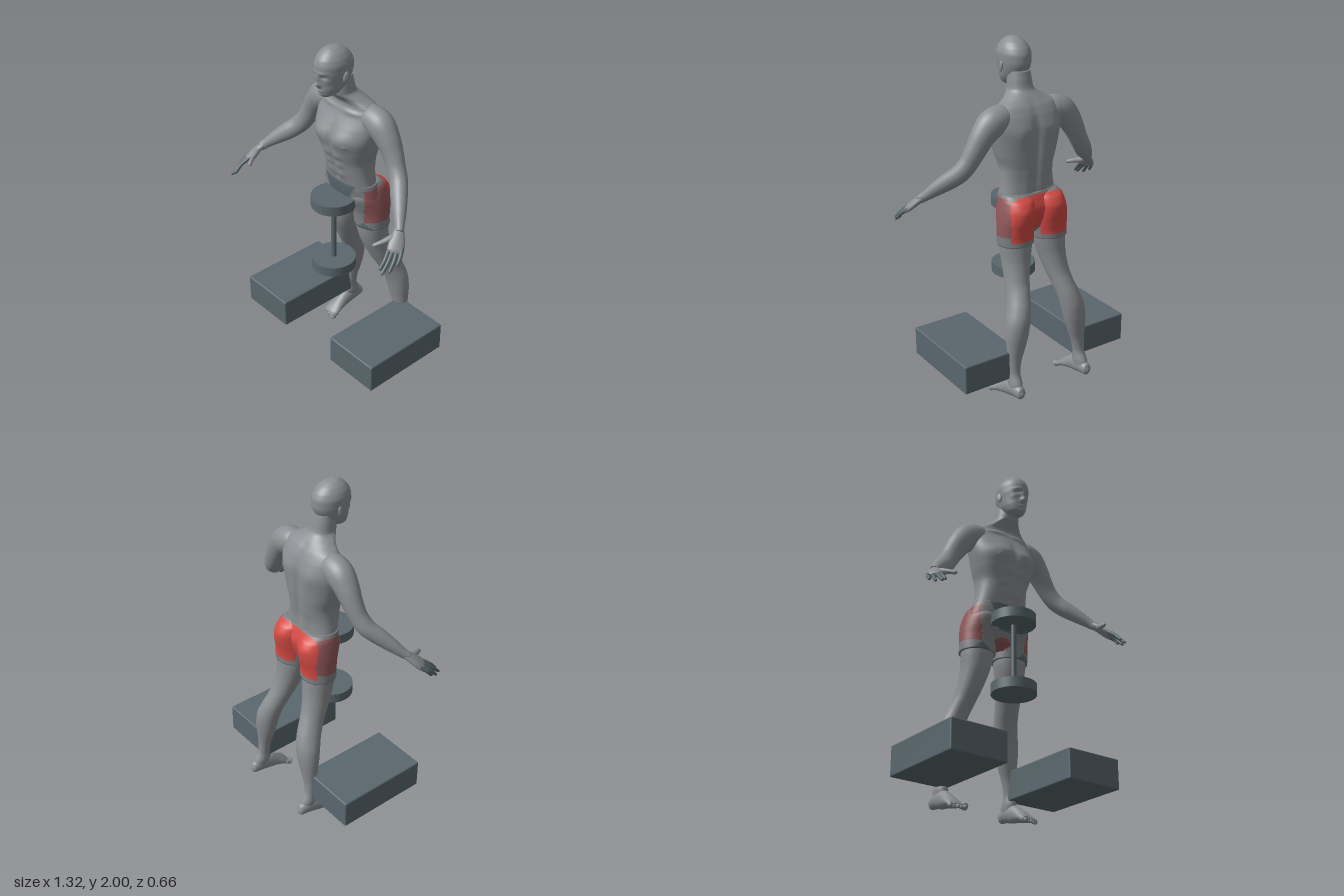
import * as THREE from 'three';
import { RoundedBoxGeometry } from 'three/addons/geometries/RoundedBoxGeometry.js';

const material = (name, color) => Object.assign(new THREE.MeshStandardMaterial({ color }), { name });
const V = (x, y, z) => new THREE.Vector3(x, y, z);

// Smooth tube through rows [x, y, z, radiusU, radiusV].
// With a side vector the rings follow the path; without one they stay level (rows run downward).
function loft(rows, { side = null, n = 24, steps = 40, power = 1, sculpt = null, pick = null } = {}) {
  const path = new THREE.CatmullRomCurve3(rows.map(r => V(r[0], r[1], r[2])));
  const size = new THREE.CatmullRomCurve3(rows.map(r => V(r[3], r[4], 0)));
  const shape = c => Math.sign(c) * Math.abs(c) ** power;
  const pts = [];
  for (let i = 0; i <= steps; i++) {
    const c = path.getPoint(i / steps), s = size.getPoint(i / steps);
    let u = V(1, 0, 0), v = V(0, 0, 1);
    if (side) {
      const t = path.getTangent(i / steps);
      u = side.clone().addScaledVector(t, -side.dot(t)).normalize();
      v = t.clone().cross(u);
    }
    for (let j = 0; j < n; j++) {
      const a = j / n * Math.PI * 2;
      const p = c.clone().addScaledVector(u, s.x * shape(Math.cos(a))).addScaledVector(v, s.y * shape(Math.sin(a)));
      if (sculpt) sculpt(p);
      pts.push(p);
    }
  }
  const ends = [path.getPoint(0), path.getPoint(1)];
  const top = pts.length, last = steps * n;
  pts.push(...ends);
  const buckets = [];
  const face = (...f) => {
    const mid = V(0, 0, 0);
    f.forEach(k => mid.addScaledVector(pts[k], 1 / f.length));
    const b = pick ? pick(mid) : 0;
    (buckets[b] ??= []).push(f[0], f[1], f[2]);
    if (f.length === 4) buckets[b].push(f[0], f[2], f[3]);
  };
  for (let j = 0; j < n; j++) {
    const k = (j + 1) % n;
    face(top, k, j);
    for (let i = 0; i < steps; i++) face(i * n + j, i * n + k, (i + 1) * n + k, (i + 1) * n + j);
    face(top + 1, last + j, last + k);
  }
  const g = new THREE.BufferGeometry().setFromPoints(pts);
  const index = [];
  buckets.forEach((b, m) => {
    g.addGroup(index.length, b.length, m);
    for (const k of b) index.push(k);
  });
  g.setIndex(index);
  g.computeVertexNormals();
  return g;
}

// Level rows from [y, halfWidth, front z, back z], optionally off centre
const level = (list, x = 0) => list.map(([y, w, f, b]) => [x, y, (f + b) / 2, w, (f - b) / 2]);
// Level rows from [y, inner x, outer x, front z, back z] on one side
const legRows = (list, s) => list.map(([y, i, o, f, b]) => [s * (i + o) / 2, y, (f + b) / 2, (o - i) / 2, (f - b) / 2]);
// Sum of soft mirrored bumps [x, y, spreadX, spreadY, height]
const bumps = (list, p) => list.reduce((sum, [x, y, sx, sy, h]) =>
  sum + h * Math.exp(-(((Math.abs(p.x) - x) / sx) ** 2) - ((p.y - y) / sy) ** 2), 0);
const fade = (v, a, b) => THREE.MathUtils.smoothstep(v, a, b);

export function createModel() {
  const skin = material('body grey', 0x8b8e92);
  const dark = material('slate', 0x59676d);
  const cloth = material('shorts grey', 0x7c8083);
  const red = material('bright red', 0xd54a44);
  const muted = material('muted red', 0x8f5658);
  const model = new THREE.Group();
  const add = (name, geometry, mat, parent = model) => {
    const m = new THREE.Mesh(geometry, mat);
    m.name = name;
    parent.add(m);
    return m;
  };

  // Torso and neck with chest, abdomen and back relief
  const chest = [[.085, 1.485, .07, .06, .018], [0, 1.47, .014, .08, -.012], [.11, 1.455, .008, .008, .006],
    [.04, 1.37, .028, .022, .007], [.04, 1.31, .028, .022, .007], [.04, 1.25, .028, .025, .006],
    [0, 1.3, .01, .1, -.006], [0, 1.215, .008, .01, -.008], [.09, 1.635, .07, .012, .008]];
  const back = [[0, 1.42, .022, .2, .02], [.1, 1.53, .05, .07, -.01], [.05, 1.26, .03, .08, -.006]];
  add('torso', loft(level([[1.83, .058, .1, -.02], [1.79, .064, .1, -.03], [1.735, .07, .095, -.045],
    [1.695, .12, .06, -.08], [1.665, .175, .045, -.105], [1.62, .2, .06, -.13], [1.55, .21, .095, -.15],
    [1.48, .2, .12, -.152], [1.4, .18, .112, -.15], [1.32, .157, .09, -.14], [1.25, .158, .075, -.13],
    [1.17, .168, .055, -.13]]), {
    n: 96, steps: 110, power: .88,
    sculpt: p => {
      p.z += bumps(chest, p) * fade(p.z, -.02, .05) + bumps(back, p) * fade(-p.z, .05, .1);
    },
  }), skin);

  // Head with facial relief
  const faceBumps = [[0, 1.812, .013, .014, .02], [0, 1.838, .009, .025, .011], [.03, 1.882, .024, .009, .005],
    [.032, 1.86, .016, .011, -.011], [0, 1.777, .024, .005, .007], [0, 1.768, .022, .004, .005],
    [0, 1.773, .026, .002, -.004], [0, 1.747, .02, .011, .007], [.05, 1.835, .015, .015, .004]];
  add('head', loft(level([[2, .004, .1, .09], [1.995, .028, .128, .058], [1.975, .057, .16, .018],
    [1.945, .077, .185, -.012], [1.91, .086, .196, -.027], [1.87, .084, .196, -.028], [1.83, .077, .187, -.014],
    [1.79, .068, .183, .015], [1.755, .05, .175, .06], [1.735, .022, .157, .105]]), {
    n: 80, steps: 90,
    sculpt: p => { p.z += bumps(faceBumps, p) * fade(p.z, .1, .16); },
  }), skin);

  // Colour rule for the patches on the shorts
  const patch = p => {
    const x = Math.abs(p.x);
    if (p.z < -.14 && p.y > .93 && p.y < 1.175 && x < .185) return 1;
    if (x > .15 && p.z < .012 && p.y > .95 - p.z * .1 && p.y < 1.165) return 2;
    if (p.z > -.06 && x < .055 && (x / .055) ** 2 + ((p.y - .97) / .03) ** 2 < 1) return 2;
    if (p.z > 0 && x < .04 + (p.y - 1.03) * .5 && p.y > 1.03) return 3;
    if (p.z > -.06 && p.y < .945 - Math.abs(x - .145) * .8 && x > .09) return 3;
    return 0;
  };
  const shortsColors = [cloth, red, muted, dark];
  add('shortsHips', loft(level([[1.185, .172, .062, -.136], [1.15, .183, .06, -.152], [1.1, .194, .052, -.168],
    [1.04, .185, .03, -.16], [.98, .12, .005, -.14], [.945, .04, -.03, -.11]]),
  { n: 80, steps: 56, power: .9, pick: patch }), shortsColors);

  for (const s of [1, -1]) {
    const sideName = s > 0 ? 'left' : 'right';
    const limb = new THREE.Group();
    limb.name = sideName + 'Limbs';
    model.add(limb);
    const flip = rows => rows.map(r => [s * r[0], ...r.slice(1)]);

    // Shorts leg with buttock
    add('shortsLeg', loft(legRows([[1.18, .03, .16, -.03, -.13], [1.15, .01, .184, .02, -.182],
      [1.1, .004, .2, .044, -.206], [1.05, .004, .21, .028, -.203], [1, .004, .215, .012, -.192],
      [.95, .006, .217, .007, -.186], [.905, .008, .217, .005, -.188]], s),
    { n: 56, steps: 50, pick: patch }), shortsColors, limb);

    // Leg
    add('leg', loft(legRows([[.95, .015, .208, 0, -.178], [.88, .022, .205, -.004, -.182],
      [.8, .04, .2, -.02, -.19], [.7, .066, .204, -.06, -.213], [.64, .083, .212, -.09, -.24],
      [.57, .1, .232, -.128, -.272], [.5, .115, .255, -.155, -.29], [.42, .13, .265, -.172, -.291],
      [.34, .152, .263, -.188, -.282], [.26, .178, .259, -.2, -.273], [.19, .192, .258, -.205, -.276],
      [.13, .192, .263, -.198, -.305], [.075, .2, .258, -.215, -.322]], s), { n: 40, steps: 70 }), skin, limb);

    // Foot and toes
    add('foot', loft(flip([[.23, .085, -.333, .006, .006], [.23, .085, -.32, .026, .032], [.23, .092, -.275, .034, .044],
      [.232, .085, -.215, .036, .05], [.235, .062, -.155, .042, .037], [.238, .038, -.105, .051, .023],
      [.238, .026, -.08, .048, .015], [.238, .022, -.07, .04, .008]]), { side: V(s, 0, 0), n: 28, steps: 36 }), skin, limb);
    for (let i = 0; i < 5; i++) {
      const x = .197 + i * .02, r = i ? .0095 : .014, tip = -.05 - i * .006;
      add('toe', loft(flip([[x, .03, -.1, r, r], [x, .025, -.075, r, r], [x, .017, tip - .012, r, r],
        [x, .014, tip - .003, r * .75, r * .7], [x, .013, tip, .002, .002]]), { side: V(s, 0, 0), n: 12, steps: 14 }), skin, limb);
    }

    // Arm from shoulder to wrist
    add('arm', loft(flip([[.1, 1.6, -.035, .05, .05], [.16, 1.605, -.035, .075, .072], [.22, 1.588, -.037, .08, .075],
      [.275, 1.535, -.037, .07, .066], [.32, 1.465, -.035, .06, .055], [.36, 1.395, -.025, .053, .048],
      [.4, 1.34, -.005, .052, .047], [.445, 1.295, .035, .05, .044], [.5, 1.245, .083, .04, .036],
      [.545, 1.2, .125, .028, .026], [.565, 1.18, .148, .027, .022]]),
    { side: V(s, 1, 0), n: 32, steps: 60 }), skin, limb);

    // Hand, fingers and thumb
    const across = V(-s * .65, .1, .75);
    add('palm', loft(flip([[.553, 1.193, .133, .024, .02], [.573, 1.168, .16, .034, .02], [.592, 1.14, .188, .043, .019],
      [.606, 1.118, .21, .043, .016], [.612, 1.108, .219, .036, .01]]), { side: across, n: 28, steps: 24 }), skin, limb);
    const fingers = [[.585, 1.117, .238, .605, 1.045, .318], [.6, 1.112, .226, .627, 1.03, .325],
      [.614, 1.113, .208, .645, 1.035, .288], [.627, 1.118, .186, .655, 1.06, .243]];
    for (const [x, y, z, X, Y, Z] of fingers) {
      const at = (t, r, lift = 0) => [x + (X - x) * t + lift, y + (Y - y) * t + lift, z + (Z - z) * t, r, r];
      add('finger', loft(flip([at(-.2, .009), at(0, .0115), at(.45, .0105, .005), at(.85, .009), at(.97, .006), at(1, .001)]),
        { side: across, n: 12, steps: 18 }), dark, limb);
    }
    add('thumb', loft(flip([[.565, 1.172, .165, .016, .016], [.552, 1.158, .2, .017, .017], [.535, 1.145, .24, .013, .013],
      [.515, 1.132, .272, .011, .011], [.509, 1.128, .281, .002, .002]]), { side: across, n: 14, steps: 20 }), skin, limb);

    // Ear and eye
    const ear = add('ear', new THREE.SphereGeometry(1, 18, 14), skin, limb);
    ear.scale.set(.009, .031, .018);
    ear.position.set(s * .086, 1.85, .077);
    ear.rotation.set(-.15, s * -.3, 0);
    const eye = add('eye', new THREE.SphereGeometry(.011, 16, 12), skin, limb);
    eye.scale.y = .65;
    eye.position.set(s * .032, 1.859, .166);

    // Side block
    add('block', new RoundedBoxGeometry(.345, .17, .55, 2, .008), dark, limb).position.set(s * .3725, .24, .03);
  }

  // Upright weight with two discs
  const weight = new THREE.Group();
  weight.name = 'weight';
  model.add(weight);
  const bar = (name, r, low, high) =>
    add(name, new THREE.CylinderGeometry(r, r, high - low, 64), dark, weight).position.set(0, (low + high) / 2, .095);
  bar('upperDisc', .125, 1.045, 1.103);
  bar('handle', .015, .66, 1.07);
  bar('lowerDisc', .125, .632, .69);
  return model;
}
